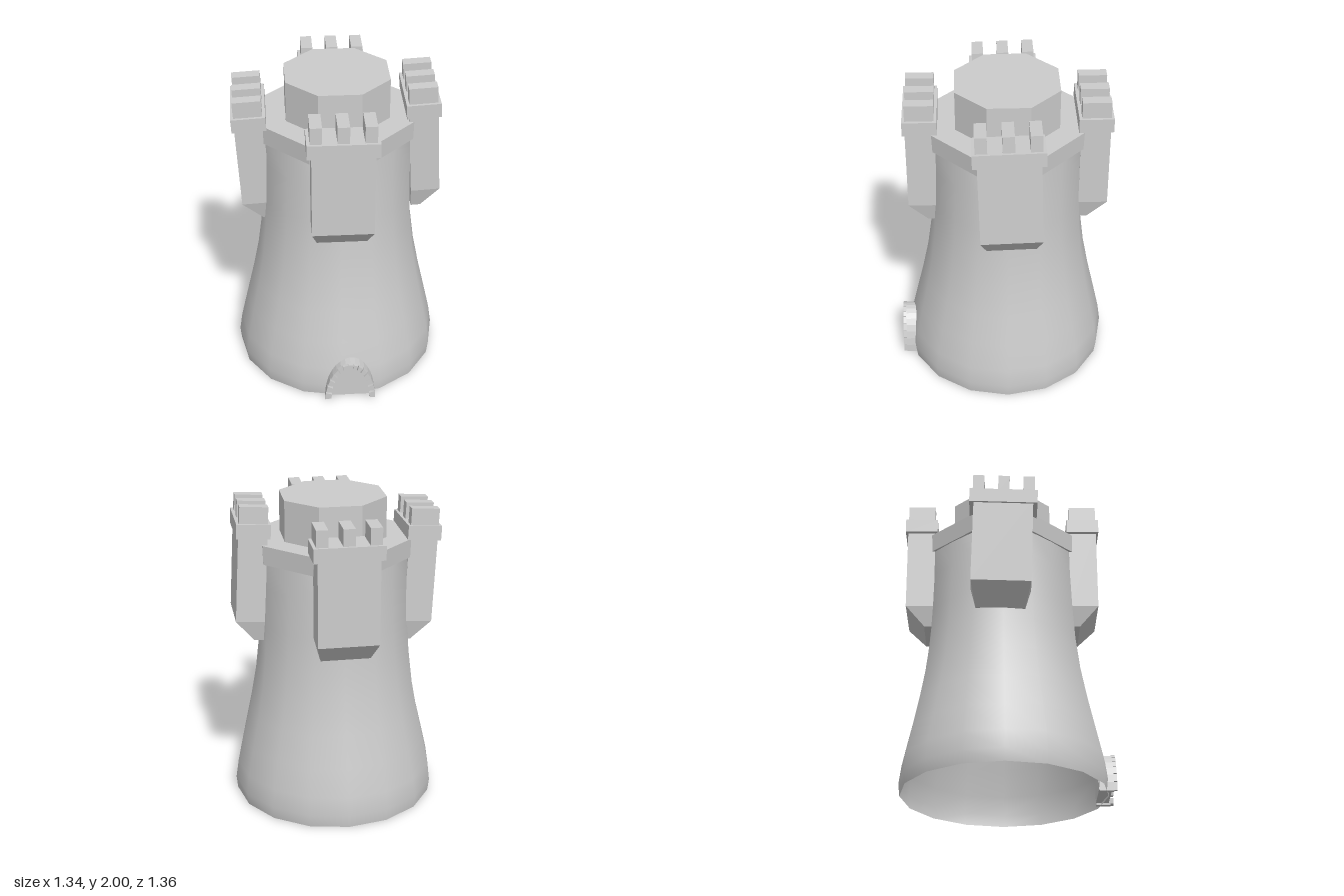
import * as THREE from 'three';
import { mergeVertices } from 'three/addons/utils/BufferGeometryUtils.js';

const flat = new THREE.MeshStandardMaterial({ color: 0xcccccc, flatShading: true });
const smooth = new THREE.MeshStandardMaterial({ color: 0xcccccc, side: THREE.DoubleSide });
const CENTRE_Z = -0.015;
const TURN = Math.PI / 8;

function add(parent, name, geometry, x = 0, y = 0, z = 0, material = flat) {
  const mesh = new THREE.Mesh(geometry, material);
  mesh.name = name;
  mesh.position.set(x, y, z);
  parent.add(mesh);
  return mesh;
}

// Flared hollow wall: sixteen-sided at the foot, turning octagonal at the top
function wallGeometry() {
  const profile = [
    [0.645, 0], [0.655, 0.08], [0.64, 0.2], [0.603, 0.38], [0.56, 0.58],
    [0.523, 0.78], [0.497, 1.0], [0.486, 1.2], [0.48, 1.45], [0.478, 1.66],
  ].map(([r, y]) => new THREE.Vector2(r, y));
  let g = new THREE.LatheGeometry(profile, 16);
  const p = g.attributes.position;
  for (let i = 0; i < p.count; i++) {
    const k = p.getY(i) / 1.66;
    const odd = Math.floor(i / profile.length) % 2;
    const s = odd ? 1 - 0.06 * k : 1;
    p.setXYZ(i, p.getX(i) * s, p.getY(i), p.getZ(i) * s + CENTRE_Z * k);
  }
  g.deleteAttribute('uv');
  g.deleteAttribute('normal');
  g = mergeVertices(g, 1e-4);
  g.computeVertexNormals();
  return g;
}

// Hanging turret: shaft, corbel sloping back to the wall, ledge, three merlons
function turret(angle) {
  const t = new THREE.Group();
  t.name = 'turret';
  t.position.set(Math.sin(angle) * 0.53, 0, Math.cos(angle) * 0.53 + CENTRE_Z);
  t.rotation.y = angle;
  add(t, 'turretShaft', new THREE.BoxGeometry(0.376, 0.56, 0.18), 0, 1.5, 0);
  const corbel = new THREE.BoxGeometry(0.376, 0.13, 0.18);
  const p = corbel.attributes.position;
  for (let i = 0; i < p.count; i++) {
    if (p.getY(i) > 0) continue;
    p.setX(i, p.getX(i) * 0.82);
    if (p.getZ(i) > 0) p.setZ(i, -0.03);
  }
  corbel.computeVertexNormals();
  add(t, 'turretCorbel', corbel, 0, 1.155, 0);
  add(t, 'turretLedge', new THREE.BoxGeometry(0.43, 0.09, 0.21), 0, 1.8, 0);
  for (const x of [-0.16, 0, 0.16]) {
    add(t, 'merlon', new THREE.BoxGeometry(0.072, 0.11, 0.175), x, 1.895, 0);
  }
  return t;
}

const archPoint = (w, h, a) => new THREE.Vector2(w * Math.cos(a), h * Math.sin(a));

function archPath(w, h, n = 16) {
  return Array.from({ length: n + 1 }, (_, i) => archPoint(w, h, (i / n) * Math.PI));
}

// Doorway: back panel, arch surround and a row of wedge stones
function gate() {
  const g = new THREE.Group();
  g.name = 'gate';
  g.rotation.y = TURN;
  const extrude = (points, depth) =>
    new THREE.ExtrudeGeometry(new THREE.Shape(points), { depth, bevelEnabled: false });
  add(g, 'door', extrude(archPath(0.13, 0.25), 0.08), 0.05, 0.015, 0.578);
  const ring = [...archPath(0.16, 0.275), ...archPath(0.125, 0.245).reverse()];
  add(g, 'archSurround', extrude(ring, 0.09), 0.05, 0.003, 0.58);
  const stones = 15;
  for (let i = 0; i < stones; i++) {
    const a = (i / stones) * Math.PI, b = ((i + 1) / stones) * Math.PI, gap = 0.035;
    const wedge = [
      archPoint(0.16, 0.277, a + 0.012), archPoint(0.16, 0.277, b - 0.012),
      archPoint(0.122, 0.242, b - gap), archPoint(0.122, 0.242, a + gap),
    ];
    add(g, 'archStone', extrude(wedge, 0.022), 0.05, 0.003, 0.667);
  }
  return g;
}

export function createModel() {
  const model = new THREE.Group();
  model.name = 'tower';

  add(model, 'towerWall', wallGeometry(), 0, 0, 0, smooth);
  add(model, 'platform', new THREE.CylinderGeometry(0.5, 0.495, 0.12, 8), 0, 1.68, CENTRE_Z);
  add(model, 'topDrum', new THREE.CylinderGeometry(0.343, 0.343, 0.27, 8), 0, 1.865, CENTRE_Z);

  // Front and back turrets stand upright
  model.add(turret(TURN), turret(TURN + Math.PI));

  // The side pair leans slightly as one piece
  const pair = new THREE.Group();
  pair.name = 'sideTurrets';
  const pivot = new THREE.Vector3(0, 1.53, CENTRE_Z);
  pair.quaternion.setFromAxisAngle(new THREE.Vector3(0.046, 0, 0.04).normalize(), 0.061);
  pair.position.copy(pivot).sub(pivot.clone().applyQuaternion(pair.quaternion));
  pair.add(turret(TURN + Math.PI / 2), turret(TURN + Math.PI * 1.5));
  model.add(pair);

  model.add(gate());
  return model;
}
